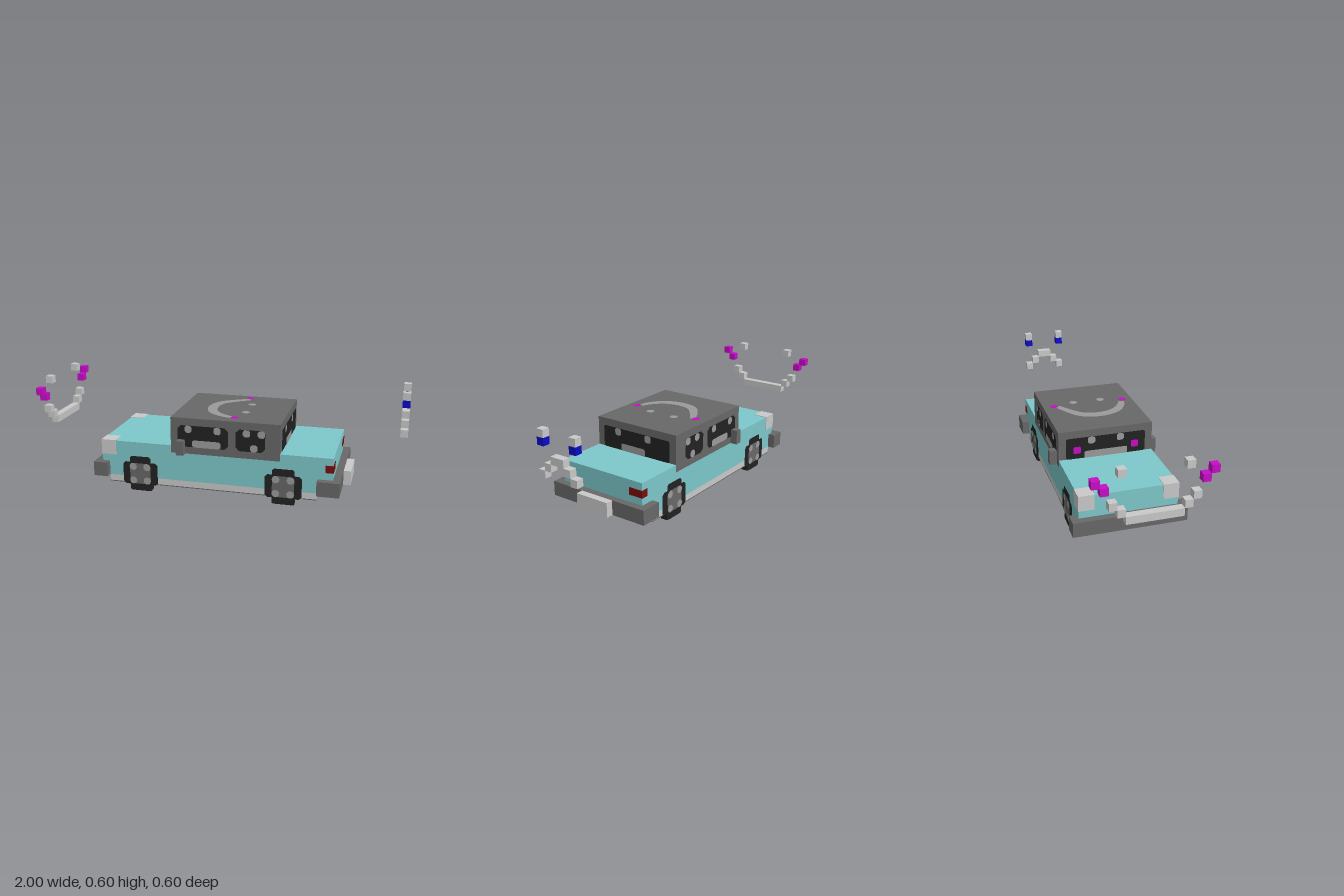
import * as THREE from 'three';

const mat = (name, color) => {
  const m = new THREE.MeshStandardMaterial({ color });
  m.name = name;
  return m;
};

export function createModel() {
  const root = new THREE.Group();
  root.name = 'toyCar';
  const teal = mat('teal paint', 0x7ec9cb), dark = mat('dark grey', 0x686868);
  const black = mat('black', 0x222222), light = mat('light grey', 0xcacaca);
  const mid = mat('mid grey', 0x9b9b9b), magenta = mat('magenta', 0xc80dc8);
  const blue = mat('blue', 0x0a0ac8), red = mat('dark red', 0x7a0c0c);

  // Box given by its min and max on each axis
  function box(name, m, x0, x1, y0, y1, z0, z1, parent = root) {
    const mesh = new THREE.Mesh(new THREE.BoxGeometry(x1 - x0, y1 - y0, z1 - z0), m);
    mesh.position.set((x0 + x1) / 2, (y0 + y1) / 2, (z0 + z1) / 2);
    mesh.name = name;
    parent.add(mesh);
    return mesh;
  }

  // Painted faces: flat shapes on a positioned, rotated panel
  function panel(name, x, y, z, rx, ry) {
    const g = new THREE.Group();
    g.name = name;
    g.position.set(x, y, z);
    g.rotation.set(rx, ry, 0);
    root.add(g);
    return g;
  }
  function paint(parent, name, m, shape, x, y, layer) {
    const mesh = new THREE.Mesh(new THREE.ShapeGeometry(shape, 6), m);
    mesh.position.set(x, y, layer * 0.0025);
    mesh.name = name;
    parent.add(mesh);
  }
  // Rectangle with chamfered corners, centred
  function rect(w, h, c = 0.006) {
    const a = w / 2, b = h / 2;
    return new THREE.Shape([[-a + c, -b], [a - c, -b], [a, -b + c], [a, b - c],
      [a - c, b], [-a + c, b], [-a, b - c], [-a, -b + c]].map(p => new THREE.Vector2(...p)));
  }
  const disc = r => new THREE.Shape().absarc(0, 0, r, 0, Math.PI * 2);
  // Brush stroke along a smooth curve, narrower at its ends
  function stroke(points, w) {
    const curve = new THREE.SplineCurve(points.map(p => new THREE.Vector2(...p)));
    const left = [], right = [];
    for (let i = 0; i <= 24; i++) {
      const t = i / 24, p = curve.getPoint(t), d = curve.getTangent(t);
      const h = w / 2 * (0.55 + 0.45 * Math.sin(Math.PI * t));
      left.push(new THREE.Vector2(p.x - d.y * h, p.y + d.x * h));
      right.unshift(new THREE.Vector2(p.x + d.y * h, p.y - d.x * h));
    }
    return new THREE.Shape([...left, ...right]);
  }

  // Body and cabin
  box('lowerBody', teal, -0.64, 0.64, 0.08, 0.24, -0.26, 0.26);
  box('frontHood', teal, -0.64, -0.24, 0.24, 0.28, -0.26, 0.26);
  box('rearDeck', teal, 0.36, 0.64, 0.24, 0.28, -0.26, 0.26);
  box('cabin', dark, -0.24, 0.36, 0.24, 0.44, -0.26, 0.26);
  box('underbody', dark, -0.6, 0.56, 0.045, 0.08, -0.22, 0.22);
  box('floorPlate', dark, -0.6, 0.56, 0.04, 0.045, -0.26, 0.26);

  // Bumpers
  box('frontBumper', dark, -0.68, -0.6, 0.08, 0.16, -0.3, 0.3);
  box('rearBumper', dark, 0.56, 0.68, 0.08, 0.16, -0.3, 0.3);
  box('rearPlate', light, 0.68, 0.72, 0.08, 0.16, -0.1, 0.1);

  // Everything mirrored on the two sides
  for (const s of [1, -1]) {
    const zBox = (name, m, x0, x1, y0, y1, a, b) =>
      box(name, m, x0, x1, y0, y1, Math.min(s * a, s * b), Math.max(s * a, s * b));
    zBox('sill', light, -0.6, 0.56, 0.045, 0.08, 0.22, 0.26);
    zBox('mirror', dark, -0.2, -0.16, 0.24, 0.32, 0.26, 0.3);
    zBox('headlight', light, -0.643, -0.56, 0.2, 0.283, 0.18, 0.263);
    zBox('taillight', red, 0.6, 0.643, 0.2, 0.24, 0.18, 0.263);

    const side = panel('sidePanel', 0, 0, s * 0.26, 0, s > 0 ? 0 : Math.PI);
    const put = (name, m, shape, x, y, layer) => paint(side, name, m, shape, s * x, y, layer);

    // Side windows with faces
    put('frontSideWindow', black, rect(0.28, 0.12, 0.02), -0.06, 0.34, 1);
    put('rearSideWindow', black, rect(0.16, 0.12, 0.02), 0.2, 0.34, 1);
    for (const x of [-0.14, 0.02, 0.18, 0.26]) put('windowEye', mid, rect(0.04, 0.04, 0.01), x, 0.38, 2);
    put('windowMouth', mid, rect(0.16, 0.04, 0.01), -0.04, 0.3, 2);
    put('windowMouth', mid, rect(0.04, 0.04, 0.01), 0.22, 0.3, 2);

    // Wheels: painted tyre and hub with a solid foot
    for (const x of [-0.42, 0.38]) {
      zBox('tyreFoot', black, x - 0.06, x + 0.06, 0, 0.04, 0.22, 0.26);
      put('tyre', black, rect(0.2, 0.13, 0.014), x, 0.1, 1);
      put('tyreCrown', black, rect(0.12, 0.2, 0.01), x, 0.1, 1.4);
      put('hub', dark, rect(0.12, 0.12, 0.02), x, 0.1, 2);
      for (const dx of [-0.04, 0.04]) for (const dy of [-0.04, 0.04])
        put('wheelBolt', mid, disc(0.021), x + dx, 0.1 + dy, 3);
    }
  }

  // Rear window
  const rear = panel('rearWindowPanel', 0.36, 0, 0, 0, Math.PI / 2);
  paint(rear, 'rearWindow', black, rect(0.44, 0.12, 0.008), 0, 0.34, 1);
  paint(rear, 'rearMouth', mid, rect(0.16, 0.04), -0.02, 0.3, 2);
  for (const x of [-0.12, 0.08]) paint(rear, 'rearEye', mid, rect(0.04, 0.04, 0.008), x, 0.38, 2);

  // Windshield
  const front = panel('windshieldPanel', -0.24, 0, 0, 0, -Math.PI / 2);
  paint(front, 'windshield', black, rect(0.44, 0.12, 0.008), 0, 0.34, 1);
  paint(front, 'windshieldMouth', mid, rect(0.24, 0.04), 0, 0.3, 2);
  for (const s of [-1, 1]) {
    paint(front, 'windshieldEye', mid, rect(0.04, 0.04, 0.008), s * 0.08, 0.38, 2);
    paint(front, 'windshieldCheek', magenta, rect(0.04, 0.04), s * 0.16, 0.33, 2);
  }

  // Smile on the roof
  const roof = panel('roofFace', 0, 0.44, 0, -Math.PI / 2, 0);
  paint(roof, 'roofSmile', mid, stroke([[0.1, 0.18], [0.02, 0.13], [-0.045, 0.07], [-0.065, -0.02],
    [-0.04, -0.11], [0.02, -0.165], [0.08, -0.19]], 0.055), 0, 0, 1);
  for (const s of [-1, 1]) {
    paint(roof, 'roofEye', mid, disc(0.022), 0.135, s * 0.08, 1);
    paint(roof, 'roofCheek', magenta, rect(0.04, 0.04, 0.008), 0.1, s * 0.2, 2);
  }

  // Curved mark on the floor
  const floor = panel('floorPanel', 0, 0.04, 0, Math.PI / 2, 0);
  paint(floor, 'floorMark', mid, stroke([[0.02, -0.18], [0, -0.04], [-0.12, 0.075]], 0.05), 0, 0, 1);

  // Floating block faces; each cube is 0.04 wide, bars are given as [y, z, length, material]
  function blockFace(name, x, blocks) {
    const g = new THREE.Group();
    g.name = name;
    root.add(g);
    for (const [y, z, len, m] of blocks)
      box(name + 'Block', m, x - 0.02, x + 0.02, y - 0.02, y + 0.02, z - len / 2, z + len / 2, g);
  }
  const happy = [[0.34, 0, 0.28, light]];
  for (const s of [-1, 1]) happy.push([0.38, s * 0.16, 0.04, light], [0.42, s * 0.2, 0.04, light],
    [0.5, s * 0.24, 0.04, magenta], [0.54, s * 0.28, 0.04, magenta], [0.58, s * 0.16, 0.04, light]);
  blockFace('happyFace', -0.98, happy);

  const sad = [[0.46, -0.06, 0.08, light]];
  for (const s of [-1, 1]) sad.push([0.42, -0.06 + s * 0.06, 0.04, light], [0.38, -0.06 + s * 0.1, 0.04, light],
    [0.54, -0.06 + s * 0.1, 0.04, blue], [0.58, -0.06 + s * 0.1, 0.04, light]);
  blockFace('sadFace', 0.98, sad);

  return root;
}
